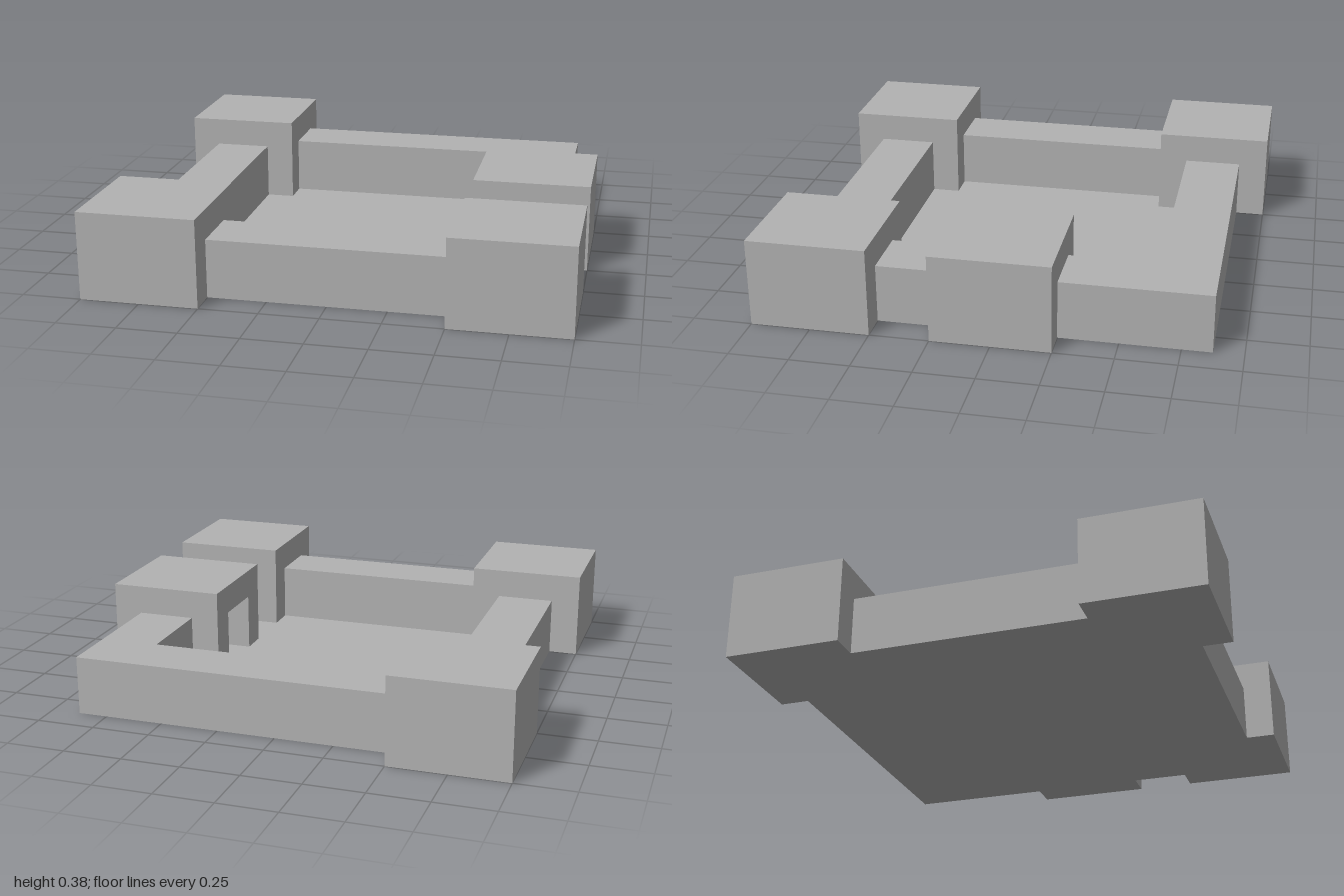
import * as THREE from 'three';

const stone = new THREE.MeshStandardMaterial({ color: 0xb2b2b2, side: THREE.DoubleSide });
stone.name = 'stone grey';

const WALL = 0.25;    // wall height and thickness
const TOWER = 0.5;    // tower width
const HEIGHT = 0.375; // tower height

// Box given by its x, y and z ranges
function block(name, [x0, x1], [y0, y1], [z0, z1]) {
  const mesh = new THREE.Mesh(new THREE.BoxGeometry(x1 - x0, y1 - y0, z1 - z0), stone);
  mesh.name = name;
  mesh.position.set((x0 + x1) / 2, (y0 + y1) / 2, (z0 + z1) / 2);
  return mesh;
}

// Gate tower: a doorway recess opens towards the courtyard
function gateTower() {
  const s = new THREE.Shape();
  const h = TOWER / 2, d = 0.125;
  [[-h, 0], [-d, 0], [-d, WALL], [d, WALL], [d, 0], [h, 0], [h, HEIGHT], [-h, HEIGHT]]
    .forEach(([x, y], i) => (i ? s.lineTo(x, y) : s.moveTo(x, y)));
  const depth = 0.375;
  const arch = new THREE.Mesh(
    new THREE.ExtrudeGeometry(s, { depth, bevelEnabled: false }), stone);
  arch.name = 'gateArch';
  arch.rotation.y = Math.PI / 2;
  arch.position.x = 0.5;

  const group = new THREE.Group();
  group.name = 'gateTower';
  group.add(arch, block('gateBack', [0.5 + depth, 1], [0, HEIGHT], [-h, h]));
  return group;
}

export function createModel() {
  const model = new THREE.Group();
  model.name = 'courtyardFort';

  // Courtyard floor
  const floor = new THREE.Mesh(new THREE.PlaneGeometry(1.75, 1.75), stone);
  floor.name = 'courtyardFloor';
  floor.rotation.x = -Math.PI / 2;
  model.add(floor);

  // Walls, stopping at the tower faces
  const y = [0, WALL];
  model.add(
    block('frontWall', [-0.5, 0.5], y, [0.625, 0.875]),
    block('backWall', [-0.5, 0.875], y, [-0.875, -0.625]),
    block('rightWall', [-0.875, -0.625], y, [-0.5, 0.5]),
    block('leftWallRear', [0.625, 0.875], y, [-0.625, -0.25]),
    block('leftWallFront', [0.625, 0.875], y, [0.25, 0.5])
  );

  // Three corner towers; the back left corner has none
  for (const [name, x, z] of [
    ['frontRightTower', -1, 0.5],
    ['frontLeftTower', 0.5, 0.5],
    ['backRightTower', -1, -1],
  ]) {
    model.add(block(name, [x, x + TOWER], [0, HEIGHT], [z, z + TOWER]));
  }

  model.add(gateTower());
  return model;
}
